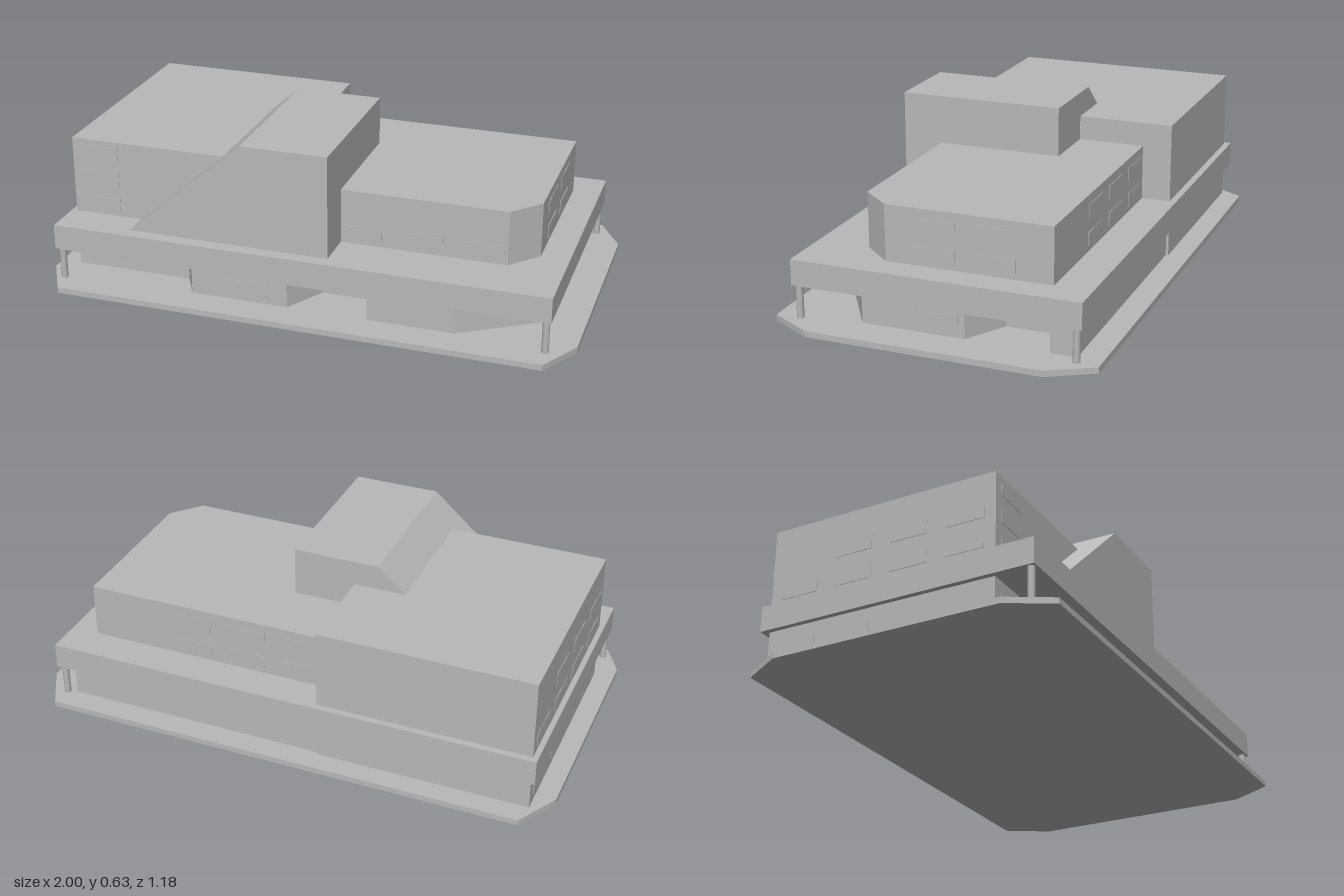
import * as THREE from 'three';

export function createModel() {
  const model = new THREE.Group();
  const grey = new THREE.MeshStandardMaterial({ color: 0xb8b8b8 });
  grey.name = 'concrete grey';

  const add = (name, geometry) => {
    const mesh = new THREE.Mesh(geometry, grey);
    mesh.name = name;
    model.add(mesh);
    return mesh;
  };

  // Box given by its lower and upper corner
  const block = (name, [x0, y0, z0], [x1, y1, z1]) =>
    add(name, new THREE.BoxGeometry(x1 - x0, y1 - y0, z1 - z0))
      .position.set((x0 + x1) / 2, (y0 + y1) / 2, (z0 + z1) / 2);

  // Footprint of [x, z] points raised from y0 to y1
  const prism = (name, points, y0, y1) => {
    const shape = new THREE.Shape(points.map(([x, z]) => new THREE.Vector2(x, -z)));
    const geometry = new THREE.ExtrudeGeometry(shape, { depth: y1 - y0, bevelEnabled: false });
    geometry.rotateX(-Math.PI / 2);
    geometry.translate(0, y0, 0);
    add(name, geometry);
  };

  // Base plate with cut corners
  prism('basePlate', [
    [-0.91, 0.59], [0.91, 0.59], [1, 0.43], [1, -0.43],
    [0.91, -0.59], [-0.91, -0.59], [-1, -0.43], [-1, 0.43],
  ], 0, 0.022);

  // Ground floor: two entrance recesses below a plain lintel band
  const frontRecess = [[-0.05, 0.47], [0.035, 0.32], [0.235, 0.32], [0.25, 0.47]];
  const sideRecess = [[0.865, -0.1], [0.715, -0.19], [0.715, -0.395], [0.865, -0.405]];
  const groundPlan = (front, side) => [
    [-0.475, 0.37], [-0.42, 0.47], ...front, [0.57, 0.47], [0.865, 0.28],
    ...side, [0.865, -0.5], [-0.475, -0.5],
  ];
  prism('groundFloor', groundPlan(frontRecess, sideRecess), 0.022, 0.112);
  prism('groundFloorLintel', groundPlan([], []), 0.112, 0.145);
  block('groundFloorWing', [-0.925, 0.022, -0.51], [-0.13, 0.145, 0.37]);

  // Overhanging slab and its corner posts
  block('overhangSlab', [-0.945, 0.145, -0.535], [0.92, 0.24, 0.52]);
  for (const [x, z] of [[-0.925, 0.5], [0.9, 0.5], [0.9, -0.51]]) {
    add('cornerPost', new THREE.CylinderGeometry(0.013, 0.013, 0.123, 10)).position.set(x, 0.0835, z);
  }

  // Upper storeys
  block('leftUpperBlock', [-0.925, 0.24, -0.51], [-0.13, 0.535, 0.37]);
  prism('rightUpperBlock', [
    [-0.13, 0.32], [0.72, 0.32], [0.815, 0.21], [0.815, -0.4], [-0.13, -0.4],
  ], 0.24, 0.445);

  // Central tower with one sloping side
  const profile = new THREE.Shape([[-0.66, 0.24], [0.105, 0.24], [0.105, 0.627], [-0.22, 0.627]]
    .map(([x, y]) => new THREE.Vector2(x, y)));
  const tower = new THREE.ExtrudeGeometry(profile, { depth: 0.62, bevelEnabled: false });
  tower.translate(0, 0, -0.15);
  add('slopingTower', tower);

  // Thin window panes, placed by centre along the wall and sill height
  const W = 0.145, H = 0.05, T = 0.004;
  const paneX = (x, z, sill) => // on front and back walls
    add('window', new THREE.BoxGeometry(W, H, T)).position.set(x, sill + H / 2, z);
  const paneZ = (x, z, sill) => // on side walls
    add('window', new THREE.BoxGeometry(T, H, W)).position.set(x, sill + H / 2, z);

  for (const sill of [0.26, 0.36]) {
    for (const z of [0.025, -0.193]) paneZ(0.815, z, sill);
    for (const x of [0.405, 0.19, -0.03]) paneX(x, -0.4, sill);
  }
  for (const x of [0.185, 0.415, 0.635]) paneX(x, 0.32, 0.26);
  for (const sill of [0.05, 0.26, 0.36, 0.46]) paneX(-0.815, 0.37, sill);
  for (const z of [-0.397, -0.18, 0.037, 0.255]) {
    paneZ(-0.925, z, 0.26);
    if (z > -0.3) paneZ(-0.925, z, 0.37);
    if (z < -0.1) paneZ(-0.925, z, 0.05);
  }
  paneZ(0.865, -0.003, 0.05);
  paneX(-0.2, 0.47, 0.05);

  return model;
}
